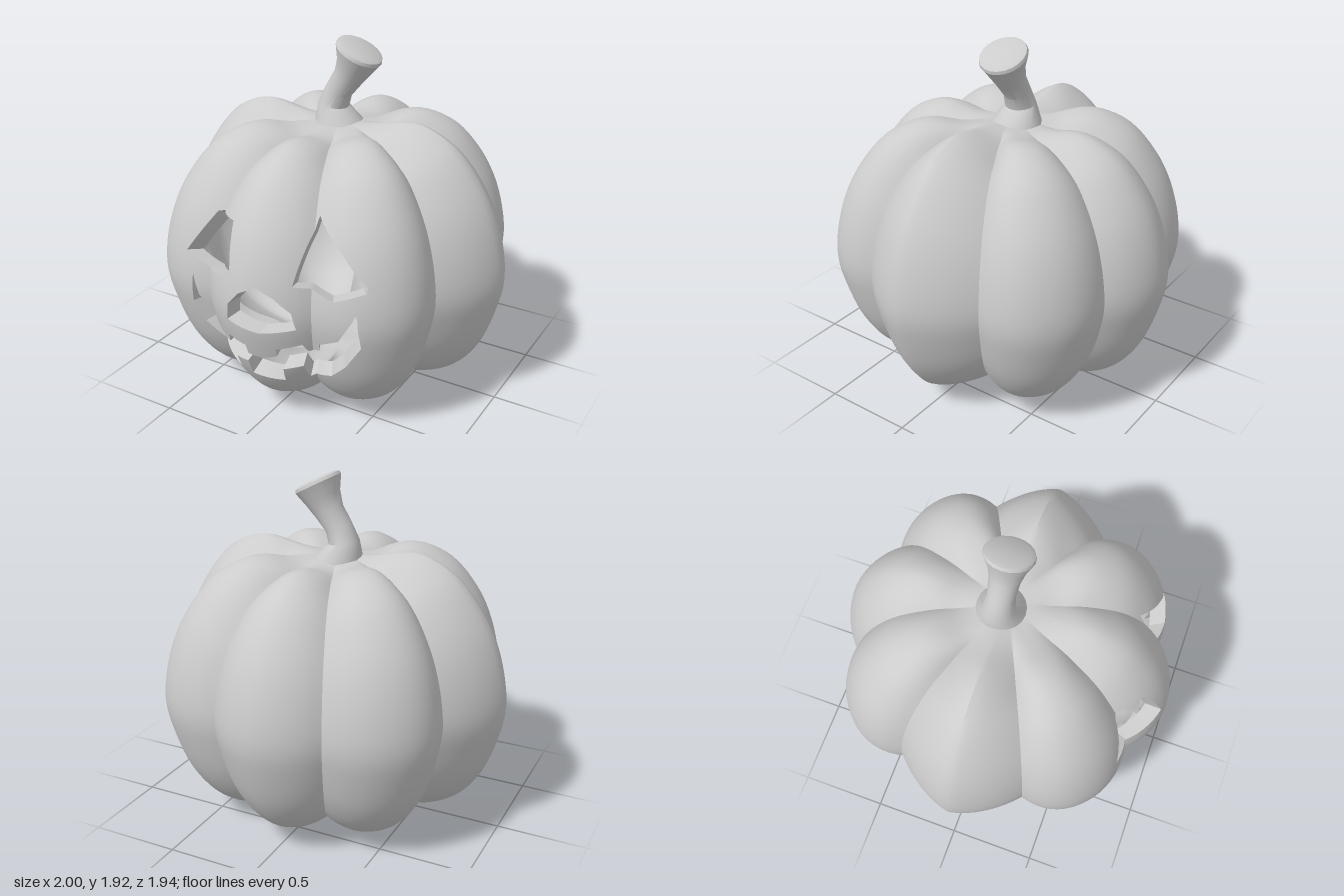
import * as THREE from 'three';
import { toCreasedNormals } from 'three/addons/utils/BufferGeometryUtils.js';

const V = (x, y, z) => new THREE.Vector3(x, y, z);
const CENTRE = V(0, 0.72, 0);
const material = new THREE.MeshStandardMaterial({ color: 0xcccccc });

// Carved outlines in the x-y plane
const CARVINGS = {
  rightEye: [[-0.465, 0.9], [-0.305, 0.84], [-0.086, 0.888], [-0.134, 1.155], [-0.305, 1.13]],
  leftEye: [[0.235, 0.898], [0.438, 0.845], [0.588, 0.904], [0.594, 0.93], [0.45, 1.08], [0.278, 1.214]],
  nose: [[-0.1, 0.668], [0.09, 0.636], [0.257, 0.663], [0.24, 0.76], [0.16, 0.84], [0.07, 0.888], [-0.02, 0.84], [-0.09, 0.76]],
  mouth: [
    [-0.417, 0.786], [-0.433, 0.61], [-0.38, 0.487], [-0.278, 0.38], [-0.107, 0.32], [-0.107, 0.406],
    [-0.02, 0.417], [-0.02, 0.32], [0.144, 0.294], [0.16, 0.39], [0.246, 0.406], [0.246, 0.305],
    [0.385, 0.364], [0.48, 0.46], [0.572, 0.6], [0.572, 0.743], [0.55, 0.79], [0.535, 0.749],
    [0.465, 0.63], [0.348, 0.572], [0.342, 0.53], [0.283, 0.508], [0.267, 0.56], [0.155, 0.535],
    [0.15, 0.487], [0.075, 0.465], [0, 0.48], [-0.005, 0.535], [-0.118, 0.556], [-0.128, 0.503],
    [-0.2, 0.535], [-0.31, 0.6], [-0.385, 0.66],
  ],
};

// Triangles joining closed rings of points, listed from bottom to top
function skin(rings) {
  const tris = [];
  for (let j = 0; j < rings.length - 1; j++) {
    const n = rings[j].length;
    for (let i = 0; i < n; i++) {
      const k = (i + 1) % n;
      const a = rings[j][i], b = rings[j][k], c = rings[j + 1][k], d = rings[j + 1][i];
      tris.push([a, b, c], [a, c, d]);
    }
  }
  return tris;
}

function makeMesh(name, tris, crease) {
  const data = [];
  for (const t of tris) {
    if (new THREE.Triangle(...t).getArea() < 1e-9) continue;
    for (const p of t) data.push(p.x, p.y, p.z);
  }
  const geometry = new THREE.BufferGeometry();
  geometry.setAttribute('position', new THREE.Float32BufferAttribute(data, 3));
  const mesh = new THREE.Mesh(toCreasedNormals(geometry, crease), material);
  mesh.name = name;
  return mesh;
}

// Eight lobes: the crest profile is pulled towards the centre at each groove
function bodyRings() {
  const crest = new THREE.SplineCurve([
    [0, 0.015], [0.2, 0.005], [0.5, 0.035], [0.73, 0.13], [0.88, 0.31], [0.97, 0.55], [1, 0.74], [0.96, 0.98],
    [0.87, 1.2], [0.72, 1.4], [0.56, 1.5], [0.42, 1.525], [0.25, 1.49], [0, 1.45],
  ].map(p => new THREE.Vector2(...p))).getSpacedPoints(64);
  // Half width in degrees and bulge power of the front, diagonal and side lobes
  const lobes = [[20.5, 1.7], [22, 2.2], [25.5, 1.25], [22, 2.2]];
  const columns = [];
  let start = -20.5;
  for (let k = 0; k < 8; k++) {
    const [half, power] = lobes[k % 4];
    for (let i = 0; i < 18; i++) {
      const angle = THREE.MathUtils.degToRad(start + half * i / 9);
      columns.push({ angle, groove: Math.pow(Math.abs(i / 9 - 1), power) });
    }
    start += half * 2;
  }
  return crest.map(({ x: r, y }) => columns.map(({ angle, groove }) => {
    const sideways = Math.sin(angle) ** 2;
    const s = 1 - (0.1 + 0.045 * sideways) * groove * THREE.MathUtils.smoothstep(r, 0.1, 0.55);
    const rr = Math.max(r, 0) * s;
    const rise = (y - CENTRE.y) * s;
    const lower = 0.055 * (1 - sideways ** 2) * THREE.MathUtils.smoothstep(r, 0, 0.3);
    return V(Math.sin(angle) * rr, CENTRE.y + rise * (rise > 0 ? 1 - lower : 1), Math.cos(angle) * rr * 0.975);
  }));
}

// Signed distance from p to the line a-b, seen from the front
function side(p, a, b) {
  const dx = b[0] - a[0], dy = b[1] - a[1];
  return (dx * (p.y - a[1]) - dy * (p.x - a[0])) / Math.hypot(dx, dy);
}

function nearEdge(pts, a, b, pad) {
  const xs = pts.map(p => p.x), ys = pts.map(p => p.y);
  return Math.max(...xs) > Math.min(a[0], b[0]) - pad && Math.min(...xs) < Math.max(a[0], b[0]) + pad
    && Math.max(...ys) > Math.min(a[1], b[1]) - pad && Math.min(...ys) < Math.max(a[1], b[1]) + pad;
}

// Split one triangle along the line a-b
function split(t, a, b) {
  const d = t.map(p => { const v = side(p, a, b); return Math.abs(v) < 1e-6 ? 0 : v; });
  if (d.every(v => v >= 0) || d.every(v => v <= 0)) return [t];
  const parts = [[], []];
  t.forEach((p, i) => {
    const k = (i + 1) % 3;
    if (d[i] >= 0) parts[0].push(p);
    if (d[i] <= 0) parts[1].push(p);
    if (d[i] * d[k] < 0) {
      const cut = p.clone().lerp(t[k], d[i] / (d[i] - d[k]));
      parts.forEach(part => part.push(cut));
    }
  });
  return parts.flatMap(q => q.slice(2).map((p, i) => [q[0], q[i + 1], p]));
}

function inside(p, poly) {
  let hit = false;
  poly.forEach((a, i) => {
    const b = poly[(i + 1) % poly.length];
    if ((a[1] > p.y) !== (b[1] > p.y) && p.x < a[0] + (b[0] - a[0]) * (p.y - a[1]) / (b[1] - a[1])) hit = !hit;
  });
  return hit;
}

// Point on the hollow inside that matches a point on the outer skin
const sink = p => p.clone().sub(CENTRE).multiplyScalar(0.9).add(CENTRE);

// Cut an outline through the shell; returns the remaining skin and the cut walls
function carve(tris, poly) {
  const edges = poly.map((a, i) => [a, poly[(i + 1) % poly.length]]);
  for (const [a, b] of edges) {
    tris = tris.flatMap(t => t[0].z > 0.3 && nearEdge(t, a, b, 1e-5) ? split(t, a, b) : [t]);
  }
  const rest = [], walls = [];
  for (const t of tris) {
    const mid = V(0, 0, 0).add(t[0]).add(t[1]).add(t[2]).divideScalar(3);
    if (mid.z < 0.3 || !inside(mid, poly)) { rest.push(t); continue; }
    t.forEach((p, i) => {
      const q = t[(i + 1) % 3];
      const onRim = edges.some(([a, b]) => Math.abs(side(p, a, b)) < 1e-5 && Math.abs(side(q, a, b)) < 1e-5
        && nearEdge([p.clone().lerp(q, 0.5)], a, b, 1e-5));
      if (onRim) walls.push([sink(q), sink(p), p], [sink(q), p, q]);
    });
  }
  return { rest, walls };
}

// Bent stem: rings of [x, y, radius, tilt], flared at both ends
function stemRings() {
  return [
    [-0.01, 1.4, 0.15, 0], [-0.025, 1.465, 0.13, 0], [-0.055, 1.545, 0.086, 0.15], [-0.022, 1.625, 0.075, 0.4],
    [0.035, 1.705, 0.082, 0.5], [0.072, 1.775, 0.102, 0.5], [0.1, 1.848, 0.135, 0.48],
    [0.107, 1.864, 0.13, 0.48], [0.112, 1.872, 0.105, 0.48], [0.112, 1.871, 0, 0.48],
  ].map(([x, y, r, tilt]) => Array.from({ length: 20 }, (_, i) => {
    const a = i / 20 * Math.PI * 2;
    return V(x + r * Math.cos(a) * Math.cos(tilt), y - r * Math.cos(a) * Math.sin(tilt), -0.03 - r * Math.sin(a));
  }));
}

export function createModel() {
  const model = new THREE.Group();
  model.name = 'carvedPumpkin';
  let body = skin(bodyRings());
  for (const [name, poly] of Object.entries(CARVINGS)) {
    const { rest, walls } = carve(body, poly);
    body = rest;
    model.add(makeMesh(name + 'Walls', walls, 0.3));
  }
  const hollow = body.map(([a, b, c]) => [sink(c), sink(b), sink(a)]);
  model.add(makeMesh('body', body, 0.6), makeMesh('hollow', hollow, 0.6), makeMesh('stem', skin(stemRings()), 0.5));
  return model;
}
